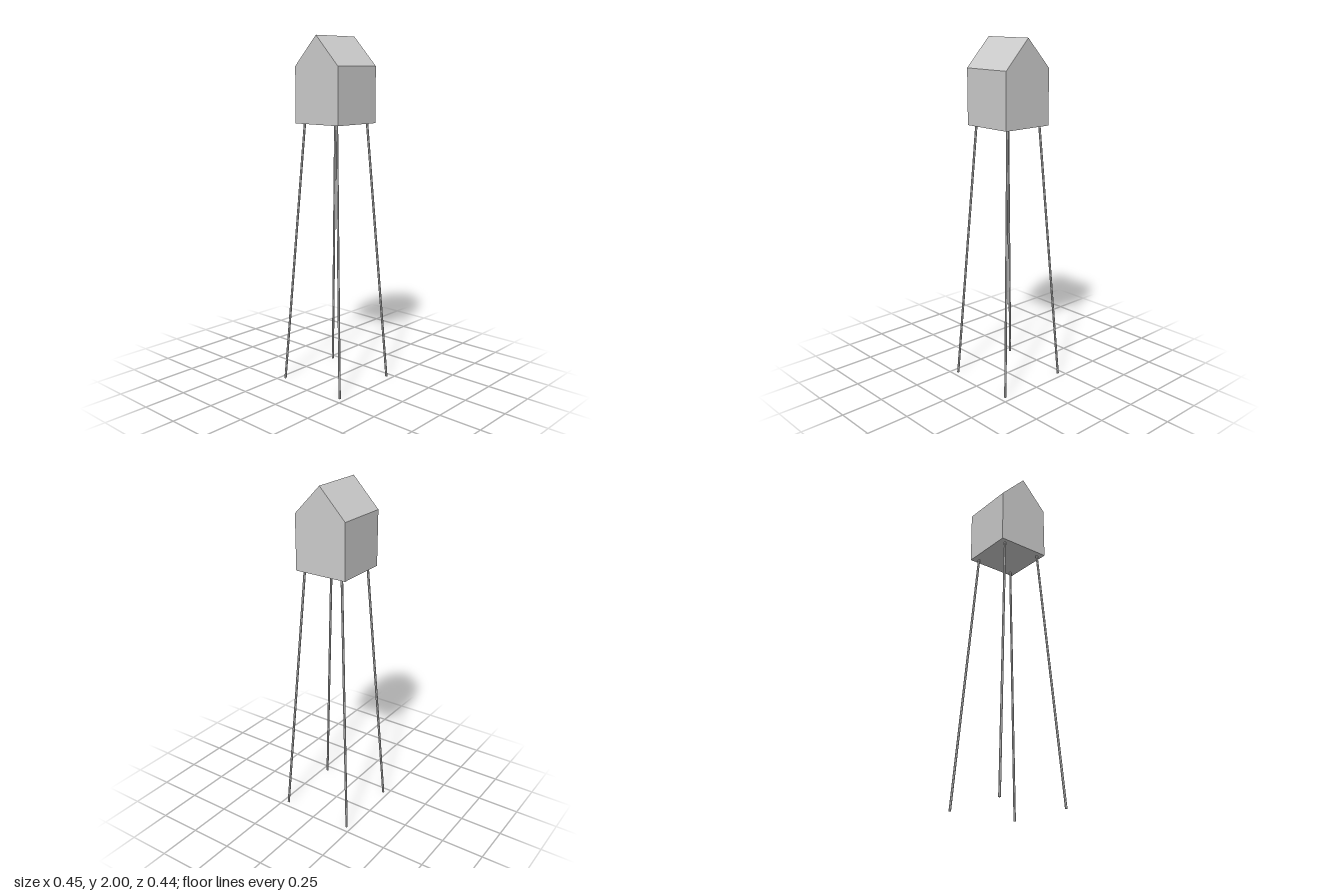
import * as THREE from 'three';

const material = new THREE.MeshStandardMaterial({ color: 0xcccccc, flatShading: true });

// Straight thin pole between two points
function pole(from, to, radius) {
  const dir = to.clone().sub(from);
  const mesh = new THREE.Mesh(new THREE.CylinderGeometry(radius, radius, dir.length(), 6), material);
  mesh.position.copy(from).add(to).multiplyScalar(0.5);
  mesh.quaternion.setFromUnitVectors(new THREE.Vector3(0, 1, 0), dir.normalize());
  return mesh;
}

export function createModel() {
  const model = new THREE.Group();

  // Cabin: gabled profile extruded front to back
  const cx = -0.003, half = 0.159, floor = 1.52, eave = 1.835, depth = 0.316;
  const profile = new THREE.Shape([
    new THREE.Vector2(cx - half, floor),
    new THREE.Vector2(cx + half, floor),
    new THREE.Vector2(cx + half, eave),
    new THREE.Vector2(cx, 2),
    new THREE.Vector2(cx - half, eave),
  ]);
  const cabinGeometry = new THREE.ExtrudeGeometry(profile, { depth, bevelEnabled: false });
  cabinGeometry.translate(0, 0, -depth / 2);
  const cabin = new THREE.Mesh(cabinGeometry, material);
  cabin.name = 'cabin';
  model.add(cabin);

  // Four splayed legs, leaning in towards the cabin floor
  const feet = {
    frontLeftLeg: [0.218, 0.21],
    frontRightLeg: [-0.217, 0.211],
    backRightLeg: [-0.22, -0.213],
    backLeftLeg: [0.216, -0.214],
  };
  for (const [name, [x, z]] of Object.entries(feet)) {
    const foot = new THREE.Vector3(x, 0.001, z);
    const top = new THREE.Vector3(x * 0.555, floor + 0.003, z * 0.6);
    const leg = pole(foot, top, 0.0068);
    leg.name = name;
    model.add(leg);
  }

  return model;
}
